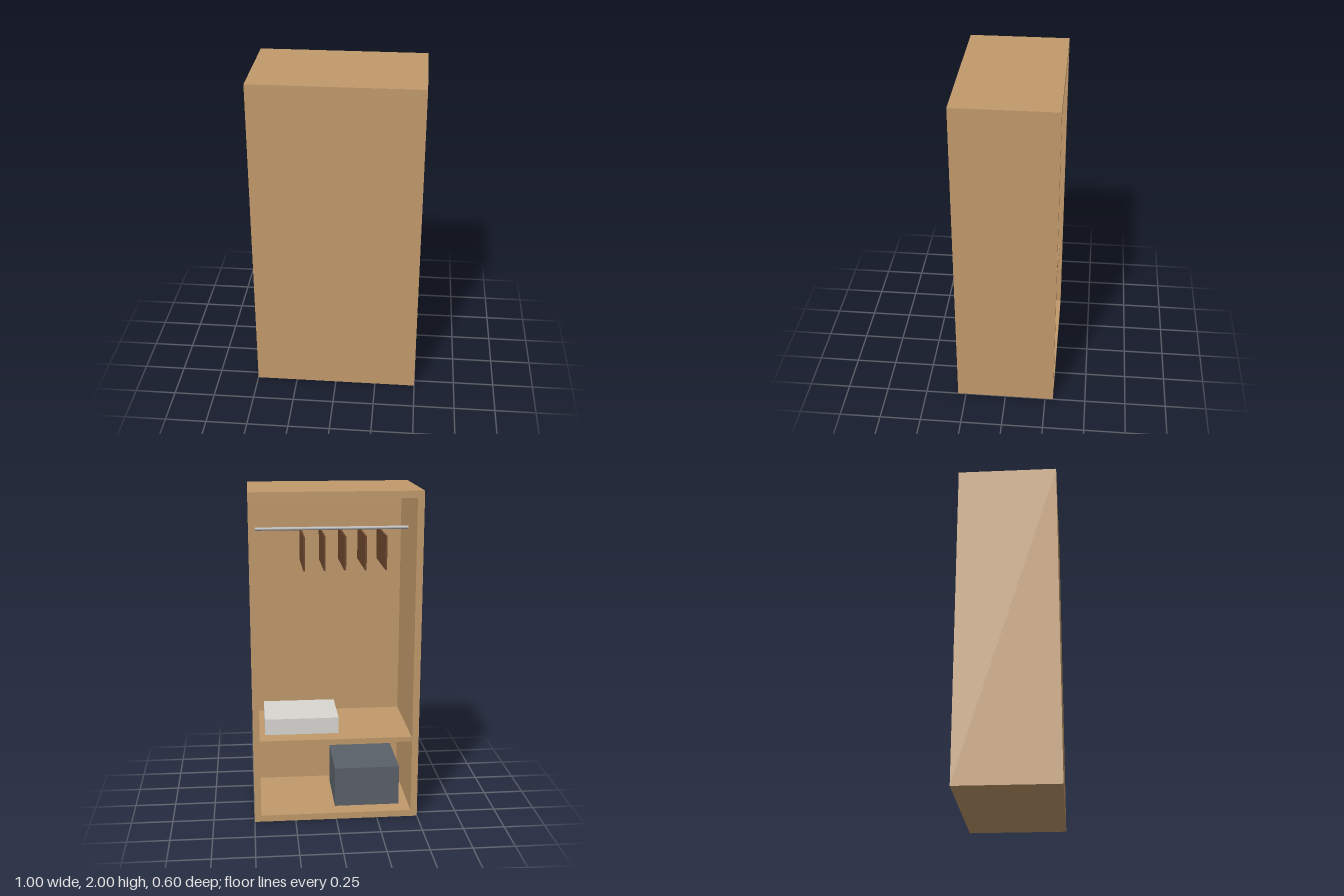
import * as THREE from 'three';

const mat = (name, color) => {
  const m = new THREE.MeshStandardMaterial({ color });
  m.name = name;
  return m;
};

export function createModel() {
  const wood = mat('wood', 0xc19a6b);
  const metal = mat('metal', 0xb4b4b4);
  const brown = mat('brown', 0x6b472d);
  const linen = mat('linen', 0xd9d8d2);
  const slate = mat('slate', 0x5a6168);

  const W = 1, H = 2, D = 0.6;   // overall cabinet size
  const T = 0.04, FRONT = 0.02;  // panel thicknesses
  const group = new THREE.Group();
  group.name = 'wardrobe';

  const box = (name, material, size, pos) => {
    const mesh = new THREE.Mesh(new THREE.BoxGeometry(...size), material);
    mesh.name = name;
    mesh.position.set(...pos);
    group.add(mesh);
    return mesh;
  };

  // Carcass: one hollow rectangular frame, open at the back
  const outline = new THREE.Shape([
    new THREE.Vector2(-W / 2, 0), new THREE.Vector2(W / 2, 0),
    new THREE.Vector2(W / 2, H), new THREE.Vector2(-W / 2, H),
  ]);
  outline.holes.push(new THREE.Path([
    new THREE.Vector2(-W / 2 + T, T), new THREE.Vector2(-W / 2 + T, H - T),
    new THREE.Vector2(W / 2 - T, H - T), new THREE.Vector2(W / 2 - T, T),
  ]));
  const carcass = new THREE.Mesh(
    new THREE.ExtrudeGeometry(outline, { depth: D, bevelEnabled: false }), wood);
  carcass.name = 'carcass';
  carcass.position.z = -D / 2;
  group.add(carcass);

  // Closed front panel, flush with the frame
  box('frontPanel', wood, [W - 2 * T, H - 2 * T, FRONT], [0, H / 2, D / 2 - FRONT / 2]);

  // Shelf
  box('shelf', wood, [W - 2 * T, 0.03, 0.56], [0, 0.5, 0]);

  // Hanging rail
  const rail = new THREE.Mesh(new THREE.CylinderGeometry(0.01, 0.01, W - 2 * T, 16), metal);
  rail.name = 'hangingRail';
  rail.rotation.z = Math.PI / 2;
  rail.position.y = 1.75;
  group.add(rail);

  // Row of hangers under the rail
  for (let i = 0; i < 5; i++) {
    box('hanger' + (i + 1), brown, [0.01, 0.2, 0.4], [-0.3 + 0.12 * i, 1.63, 0]);
  }

  // Stored items: folded linen on the shelf, storage box on the floor
  box('foldedLinen', linen, [0.45, 0.1, 0.35], [0.2, 0.565, 0]);
  box('storageBox', slate, [0.4, 0.25, 0.4], [-0.2, 0.165, 0]);

  return group;
}
